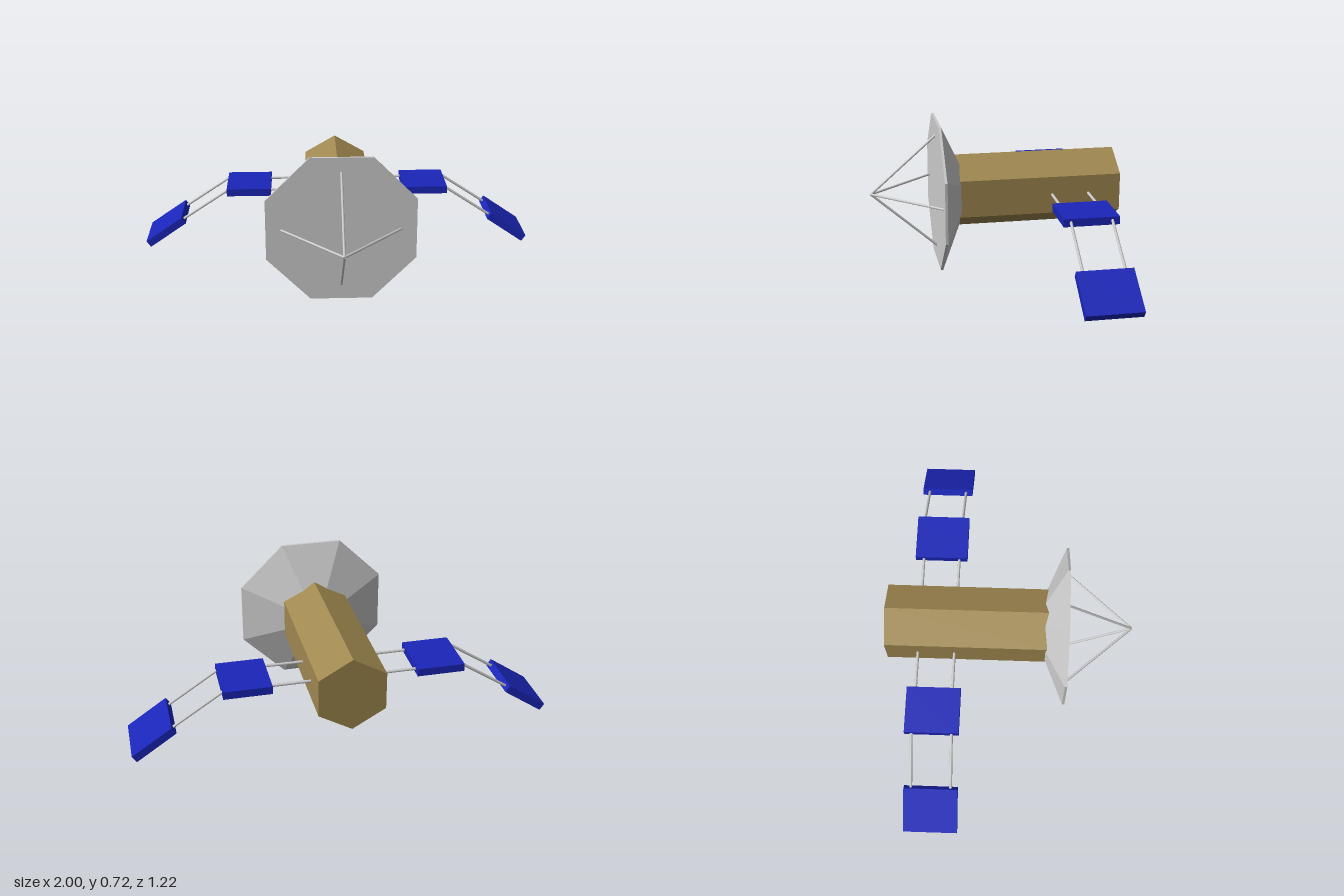
import * as THREE from 'three';

const AXIS_Y = 0.362; // height of the long axis
const PANEL_Z = -0.361;

const material = (color) => new THREE.MeshStandardMaterial({ color, flatShading: true });

export function createModel() {
  const model = new THREE.Group();
  const grey = new THREE.MeshStandardMaterial({ color: 0xcccccc });
  const greyFlat = material(0xcccccc);
  const gold = material(0xa08850);
  const blue = material(0x1a25b8);

  const add = (name, geometry, mat, parent = model) => {
    const mesh = new THREE.Mesh(geometry, mat);
    mesh.name = name;
    parent.add(mesh);
    return mesh;
  };

  // Prism or cone frustum along z, between a back and a front plane
  const prism = (name, rBack, rFront, zBack, zFront, sides, start, mat) => {
    const g = new THREE.CylinderGeometry(rFront, rBack, zFront - zBack, sides, 1, false, start);
    g.rotateX(Math.PI / 2);
    return add(name, g, mat).position.set(0, AXIS_Y, (zBack + zFront) / 2);
  };

  // Thin round rod between two points
  const rod = (name, a, b, radius, parent) => {
    const from = new THREE.Vector3(...a);
    const dir = new THREE.Vector3(...b).sub(from);
    const mesh = add(name, new THREE.CylinderGeometry(radius, radius, dir.length(), 8), grey, parent);
    mesh.position.copy(from).addScaledVector(dir, 0.5);
    mesh.quaternion.setFromUnitVectors(new THREE.Vector3(0, 1, 0), dir.normalize());
  };

  // Hexagonal body
  prism('body', 0.183, 0.183, -0.61, 0.19, 6, 0, gold);

  // Octagonal dish: cone back and thin flat rim
  prism('dishBack', 0.04, 0.39, 0.12, 0.27, 8, Math.PI / 8, greyFlat);
  prism('dishRim', 0.39, 0.39, 0.27, 0.282, 8, Math.PI / 8, greyFlat);

  // Four feed struts meeting in front of the dish
  for (let i = 0; i < 4; i++) {
    const a = (i * Math.PI) / 2;
    rod('feedStrut',
      [0.29 * Math.cos(a), AXIS_Y + 0.29 * Math.sin(a), 0.275],
      [0, AXIS_Y, 0.603], 0.006, model);
  }

  // Solar wings, one on each side
  for (const side of [1, -1]) {
    const wing = new THREE.Group();
    wing.name = side > 0 ? 'leftWing' : 'rightWing';
    model.add(wing);

    const panel = new THREE.BoxGeometry(0.228, 0.038, 0.263);
    add('innerPanel', panel, blue, wing).position.set(side * 0.457, 0.363, PANEL_Z);
    const outer = add('outerPanel', panel, blue, wing);
    outer.position.set(side * 0.895, 0.147, PANEL_Z);
    outer.rotation.z = -side * 0.6;

    for (const s of [1, -1]) {
      rod('innerRod', [side * 0.12, 0.363, PANEL_Z + s * 0.09],
        [side * 0.36, 0.363, PANEL_Z + s * 0.09], 0.007, wing);
      rod('outerRod', [side * 0.56, 0.371, PANEL_Z + s * 0.097],
        [side * 0.815, 0.202, PANEL_Z + s * 0.097], 0.007, wing);
    }
  }

  return model;
}
